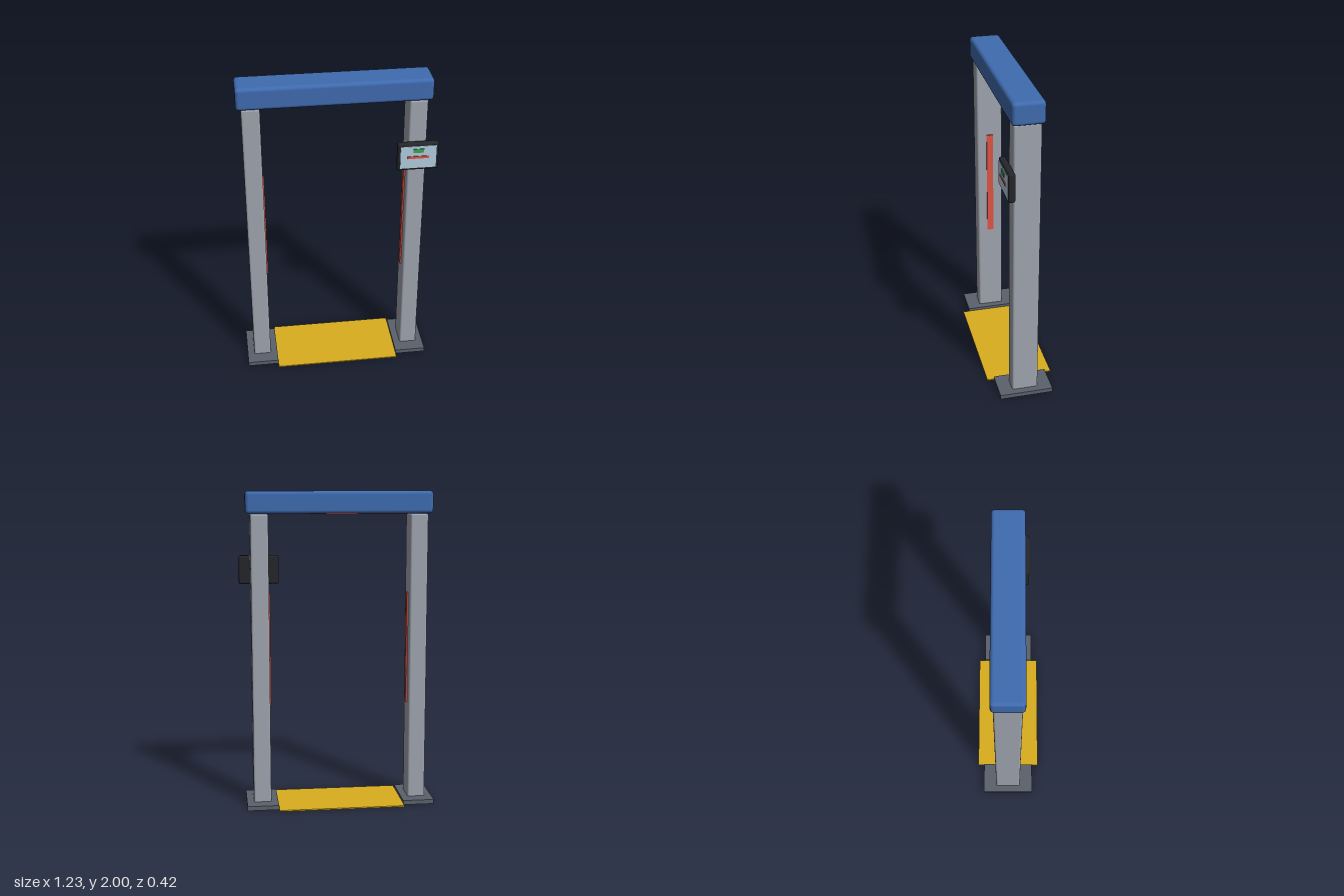
import * as THREE from 'three';
import { RoundedBoxGeometry } from 'three/addons/geometries/RoundedBoxGeometry.js';

const mat = (color) => new THREE.MeshStandardMaterial({ color });
const steel = mat(0xa0a5b0), blue = mat(0x3f6bb0), dark = mat(0x5a626c), yellow = mat(0xdaae1e),
  red = mat(0xe05545), black = mat(0x24262b), glass = mat(0xb4cde0), green = mat(0x3aa552);

// Box given by its minimum and maximum corners, with an optional edge radius
function block(name, material, min, max, radius = 0) {
  const size = max.map((v, i) => v - min[i]);
  const geometry = radius
    ? new RoundedBoxGeometry(...size, 3, radius)
    : new THREE.BoxGeometry(...size);
  const mesh = new THREE.Mesh(geometry, material);
  mesh.name = name;
  mesh.position.set(...max.map((v, i) => (v + min[i]) / 2));
  return mesh;
}

export function createModel() {
  const model = new THREE.Group();
  model.name = 'walkThroughScanner';

  // Gate frame, its middle slightly to the right so the monitor can overhang
  const frame = new THREE.Group();
  frame.name = 'frame';
  frame.position.x = -0.016;
  model.add(frame);

  for (const [side, s] of [['left', 1], ['right', -1]]) {
    const c = s * 0.5;
    const inner = c - s * 0.056;
    const tip = inner - s * 0.009;
    frame.add(
      block(side + 'Post', steel, [c - 0.056, 0.002, -0.083], [c + 0.056, 1.86, 0.083], 0.013),
      block(side + 'BasePlate', dark, [c - 0.1, 0, -0.17], [c + 0.1, 0.028, 0.17]),
      // Indicator strip on the inner face of the post
      block(side + 'LightStrip', red, [Math.min(inner, tip), 0.645, -0.021], [Math.max(inner, tip), 1.36, 0.021])
    );
  }

  // Top beam with its light strip, and the floor mat
  frame.add(
    block('topBeam', blue, [-0.585, 1.86, -0.098], [0.585, 2, 0.098], 0.022),
    block('beamLightStrip', red, [-0.435, 1.854, -0.021], [0.435, 1.862, 0.021]),
    block('floorMat', yellow, [-0.4, 0.001, -0.212], [0.4, 0.009, 0.212])
  );

  // Monitor on the front of the left post
  const monitor = new THREE.Group();
  monitor.name = 'monitor';
  monitor.add(
    block('monitorCase', black, [0.357, 1.413, 0.085], [0.61, 1.595, 0.127], 0.013),
    block('screen', glass, [0.374, 1.43, 0.12], [0.594, 1.578, 0.13]),
    block('statusLamp', green, [0.451, 1.535, 0.125], [0.517, 1.561, 0.134]),
    block('signalBar', red, [0.418, 1.496, 0.125], [0.55, 1.512, 0.134])
  );
  model.add(monitor);

  return model;
}
